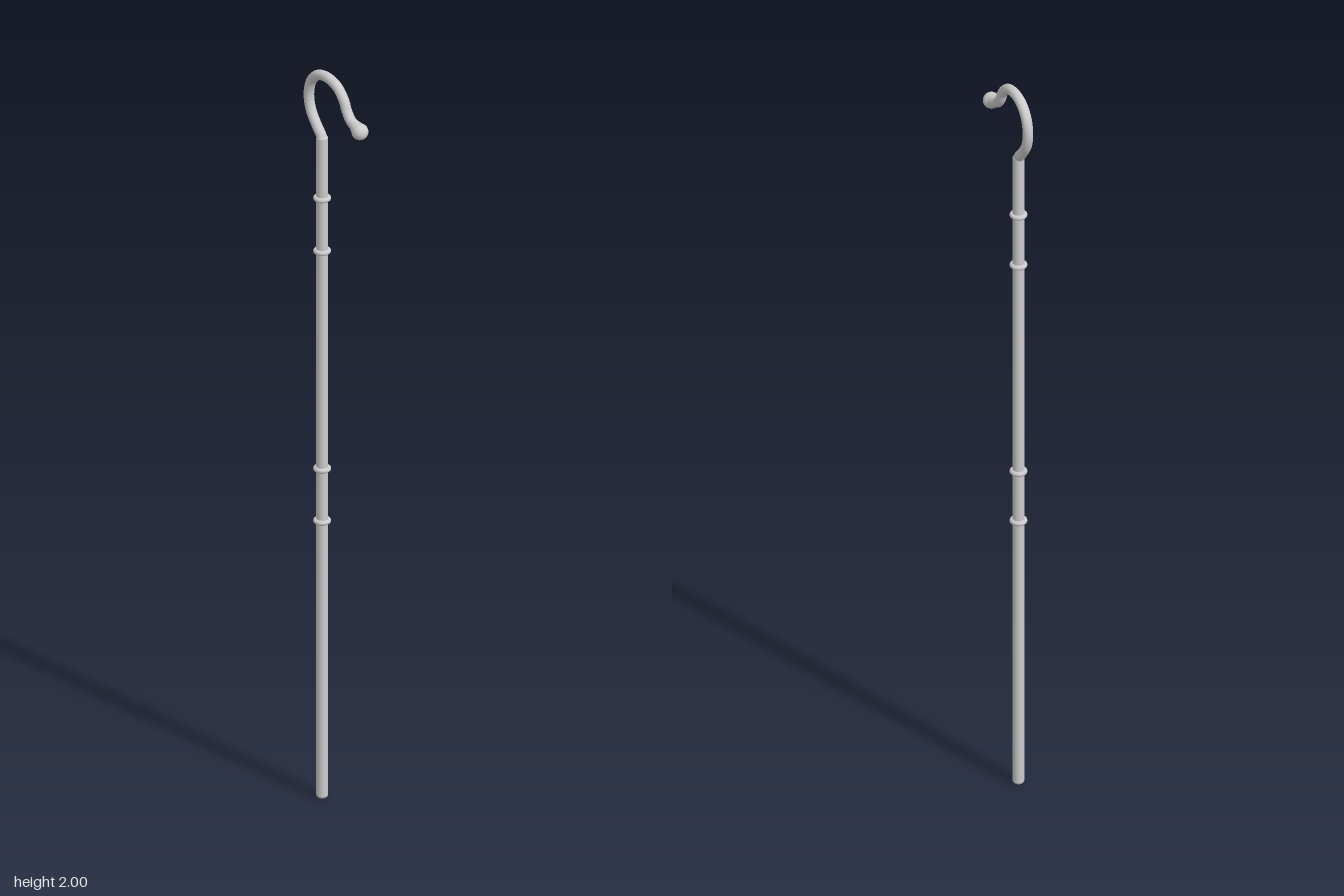
import * as THREE from 'three';

const SHAFT_X = -0.054;
const SHAFT_R = 0.0145;

export function createModel() {
  const group = new THREE.Group();
  const material = new THREE.MeshStandardMaterial({ color: 0xcccccc });
  const add = (name, geometry, x = 0, y = 0) => {
    const mesh = new THREE.Mesh(geometry, material);
    mesh.name = name;
    mesh.position.set(x, y, 0);
    group.add(mesh);
    return mesh;
  };
  const v2 = (x, y) => new THREE.Vector2(x, y);

  // Straight shaft with rounded ends
  const top = 1.822;
  const shaftProfile = [];
  for (let i = 0; i <= 6; i++) {
    const a = (i / 6) * Math.PI / 2;
    shaftProfile.push(v2(SHAFT_R * Math.sin(a), 0.01 * (1 - Math.cos(a))));
  }
  for (let i = 0; i <= 6; i++) {
    const a = (i / 6) * Math.PI / 2;
    shaftProfile.push(v2(SHAFT_R * Math.cos(a), top - 0.01 * (1 - Math.sin(a))));
  }
  add('shaft', new THREE.LatheGeometry(shaftProfile, 32), SHAFT_X);

  // Two pairs of thin rings
  for (const y of [0.762, 0.905, 1.503, 1.648]) {
    const ring = new THREE.TorusGeometry(0.0155, 0.0065, 12, 32);
    ring.rotateX(Math.PI / 2);
    add('ring', ring, SHAFT_X, y);
  }

  // Curved crook
  const path = new THREE.CatmullRomCurve3([
    [SHAFT_X, 1.79], [-0.056, 1.815], [-0.075, 1.838], [-0.099, 1.873], [-0.107, 1.912],
    [-0.097, 1.952], [-0.070, 1.979], [-0.033, 1.987], [0.005, 1.978], [0.032, 1.953],
    [0.046, 1.925], [0.064, 1.905], [0.095, 1.893],
  ].map(([x, y]) => new THREE.Vector3(x, y, 0)));
  add('crook', new THREE.TubeGeometry(path, 120, 0.013, 20));

  // Ball tip with a flared neck, pointing along the end of the crook
  const r = 0.021;
  const tipProfile = [v2(0.0125, -0.036), v2(0.0135, -0.027), v2(0.0155, -0.019)];
  for (let i = 0; i <= 16; i++) {
    const a = -0.6 + (i / 16) * (Math.PI / 2 + 0.6);
    tipProfile.push(v2(Math.max(0, r * Math.cos(a)), r * Math.sin(a)));
  }
  const tip = add('ballTip', new THREE.LatheGeometry(tipProfile, 32), 0.097, 1.892);
  tip.rotation.z = -Math.PI / 2 - 0.4;

  return group;
}
